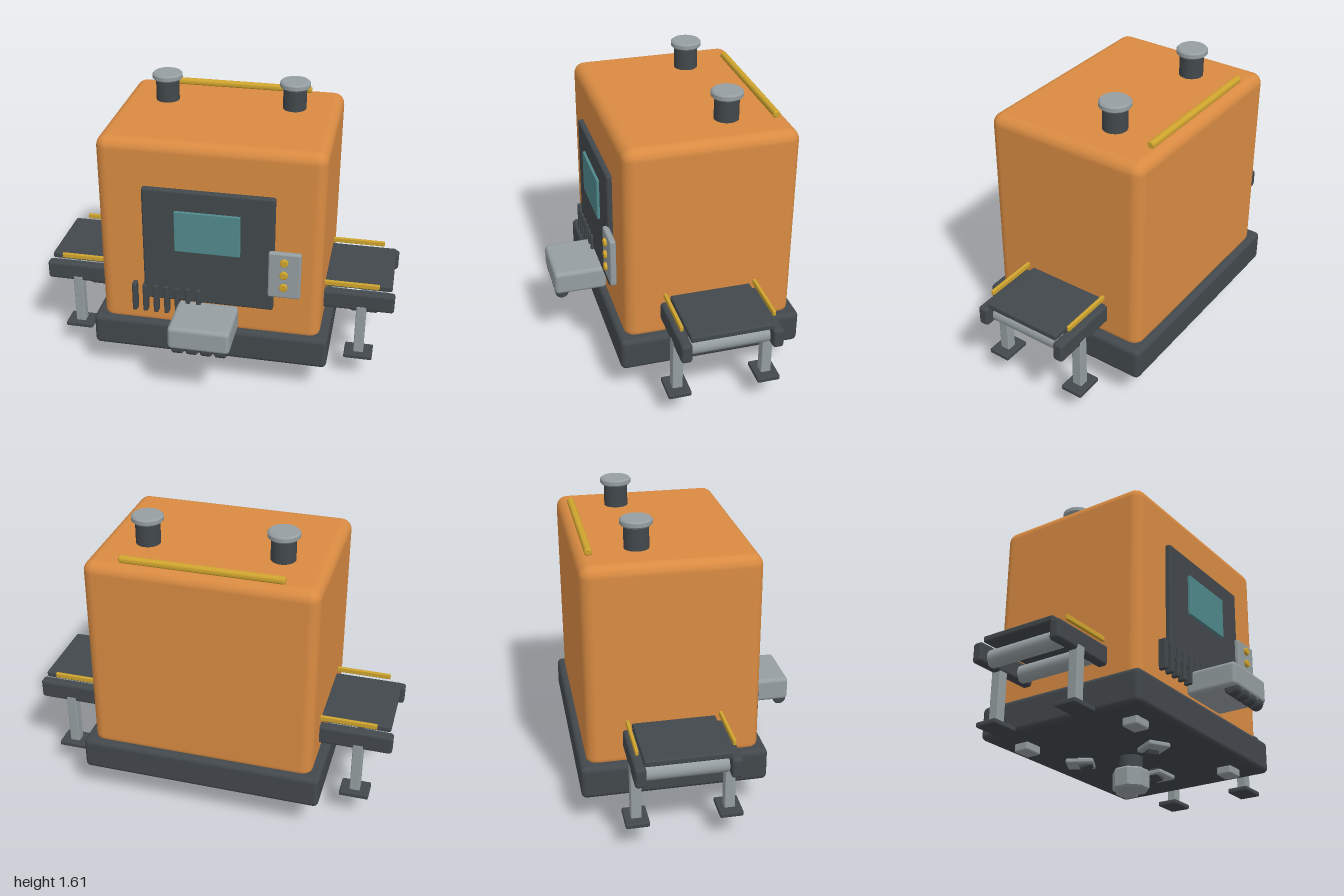
import * as THREE from 'three';
import { RoundedBoxGeometry } from 'three/addons/geometries/RoundedBoxGeometry.js';
import { toCreasedNormals } from 'three/addons/utils/BufferGeometryUtils.js';

const paint = (name, color) => {
  const m = new THREE.MeshStandardMaterial({ color });
  m.name = name;
  return m;
};

export function createModel() {
  const model = new THREE.Group();
  model.name = 'processingMachine';
  const orange = paint('orange', 0xd98b42);
  const dark = paint('charcoal', 0x42484c);
  const grey = paint('steel', 0x959ea1);
  const yellow = paint('yellow', 0xcfa42e);
  const teal = paint('teal', 0x50898c);
  const zMid = -0.126;

  const add = (parent, name, geometry, material, x, y, z) => {
    const mesh = new THREE.Mesh(geometry, material);
    mesh.name = name;
    mesh.position.set(x, y, z);
    parent.add(mesh);
    return mesh;
  };
  // Rounded box given by its lower and upper limits on each axis
  const box = (parent, name, material, [x0, x1], [y0, y1], [z0, z1], r = 0.008) =>
    add(parent, name, new RoundedBoxGeometry(x1 - x0, y1 - y0, z1 - z0, 3, r), material,
      (x0 + x1) / 2, (y0 + y1) / 2, (z0 + z1) / 2);
  // Upright disc or drum with bevelled rims, centred on its own origin
  const drum = (r, h, b, sides = 32) => {
    const pts = [[0, -h / 2], [r - b, -h / 2], [r, -h / 2 + b], [r, h / 2 - b], [r - b, h / 2], [0, h / 2]];
    const g = new THREE.LatheGeometry(pts.map(p => new THREE.Vector2(...p)), sides);
    if (sides < 12) g.rotateY(Math.PI / sides);
    return toCreasedNormals(g, 0.5);
  };
  const span = (c, size) => [c - size / 2, c + size / 2];

  // Housing and plinth
  box(model, 'housing', orange, [-0.61, 0.61], [0.33, 1.453], [-0.588, 0.334], 0.06);
  box(model, 'plinth', dark, [-0.66, 0.66], [0.187, 0.372], [-0.626, 0.372], 0.028);

  // Capped exhaust stacks and the rear roof rail
  for (const s of [-1, 1]) {
    add(model, 'exhaustStack', drum(0.065, 0.15, 0.003), dark, s * 0.358, 1.51, -0.27);
    add(model, 'exhaustCap', drum(0.084, 0.038, 0.009), grey, s * 0.358, 1.592, -0.27);
  }
  const rail = drum(0.02, 0.85, 0.006, 16);
  rail.rotateZ(Math.PI / 2);
  add(model, 'roofRail', rail, yellow, -0.002, 1.468, -0.52);

  // Front panel with screen
  box(model, 'frontPanel', dark, [-0.358, 0.355], [0.528, 1.2], [0.32, 0.363], 0.012);
  box(model, 'screen', teal, [-0.18, 0.175], [0.848, 1.085], [0.355, 0.378], 0.004);

  // Button plate
  box(model, 'buttonPlate', grey, [0.328, 0.502], [0.63, 0.9], [0.352, 0.386], 0.01);
  for (const y of [0.7, 0.775, 0.85]) {
    const button = drum(0.022, 0.03, 0.004, 20);
    button.rotateX(Math.PI / 2);
    add(model, 'button', button, yellow, 0.413, y, 0.387);
  }

  // Vent slats
  for (let i = 0; i < 7; i++)
    box(model, 'ventSlat', dark, span(-0.414 + i * 0.06, 0.026), [0.443, 0.613], [0.325, 0.376], 0.007);

  // Outlet tray with rollers beneath its lip
  box(model, 'outletTray', grey, [-0.17, 0.166], [0.388, 0.522], [0.335, 0.626], 0.022);
  for (let i = 0; i < 4; i++) {
    const roller = drum(0.037, 0.062, 0.008, 24);
    roller.rotateZ(Math.PI / 2);
    add(model, 'trayRoller', roller, dark, -0.119 + i * 0.078, 0.386, 0.585);
  }

  // Conveyors on both sides
  for (const s of [-1, 1]) {
    const conveyor = new THREE.Group();
    conveyor.name = s > 0 ? 'leftConveyor' : 'rightConveyor';
    model.add(conveyor);
    const out = (a, b) => (s > 0 ? [a, b] : [-b, -a]);
    box(conveyor, 'belt', dark, out(0.58, 0.982), [0.552, 0.587], span(zMid - 0.002, 0.44), 0.01);
    for (const x of [0.68, 0.91]) {
      const roller = drum(0.046, 0.45, 0.004, 24);
      roller.rotateX(Math.PI / 2);
      add(conveyor, 'beltRoller', roller, grey, s * x, 0.486, zMid);
    }
    for (const t of [-1, 1]) {
      const z = zMid + t * 0.242;
      box(conveyor, 'sideBeam', dark, out(0.58, 1), [0.445, 0.553], span(z, 0.058), 0.016);
      box(conveyor, 'guideRail', yellow, out(0.58, 0.911), [0.58, 0.609], span(zMid + t * 0.246, 0.018), 0.005);
      box(conveyor, 'leg', grey, span(s * 0.821, 0.056), [0.155, 0.472], span(z + t * 0.003, 0.056), 0.006);
      box(conveyor, 'footPlate', dark, span(s * 0.821, 0.16), [0.144, 0.172], span(z + t * 0.003, 0.125), 0.008);
    }
  }

  // Pads under the plinth
  for (const s of [-1, 1])
    for (const t of [-1, 1])
      box(model, 'plinthPad', grey, span(s * 0.46, 0.11), [0.143, 0.195], span(zMid + t * 0.345, 0.09), 0.01);

  // Central pedestal
  add(model, 'pedestalNeck', drum(0.064, 0.12, 0.003), dark, 0, 0.15, zMid);
  add(model, 'pedestalFoot', drum(0.101, 0.113, 0.01, 8), grey, 0, 0.0565, zMid);

  // Three clamps set evenly around the pedestal
  for (let i = 0; i < 3; i++) {
    const clamp = new THREE.Group();
    clamp.name = 'clamp';
    clamp.position.set(0, 0, zMid);
    clamp.rotation.y = i * Math.PI * 2 / 3;
    model.add(clamp);
    box(clamp, 'clampPlate', grey, [0.2, 0.35], [0.145, 0.172], [-0.062, 0.062], 0.009);
    const jaw = box(clamp, 'clampJaw', dark, [0.215, 0.285], [0.13, 0.2], [-0.032, 0.032], 0.006);
    jaw.rotation.z = -0.3;
  }
  return model;
}
